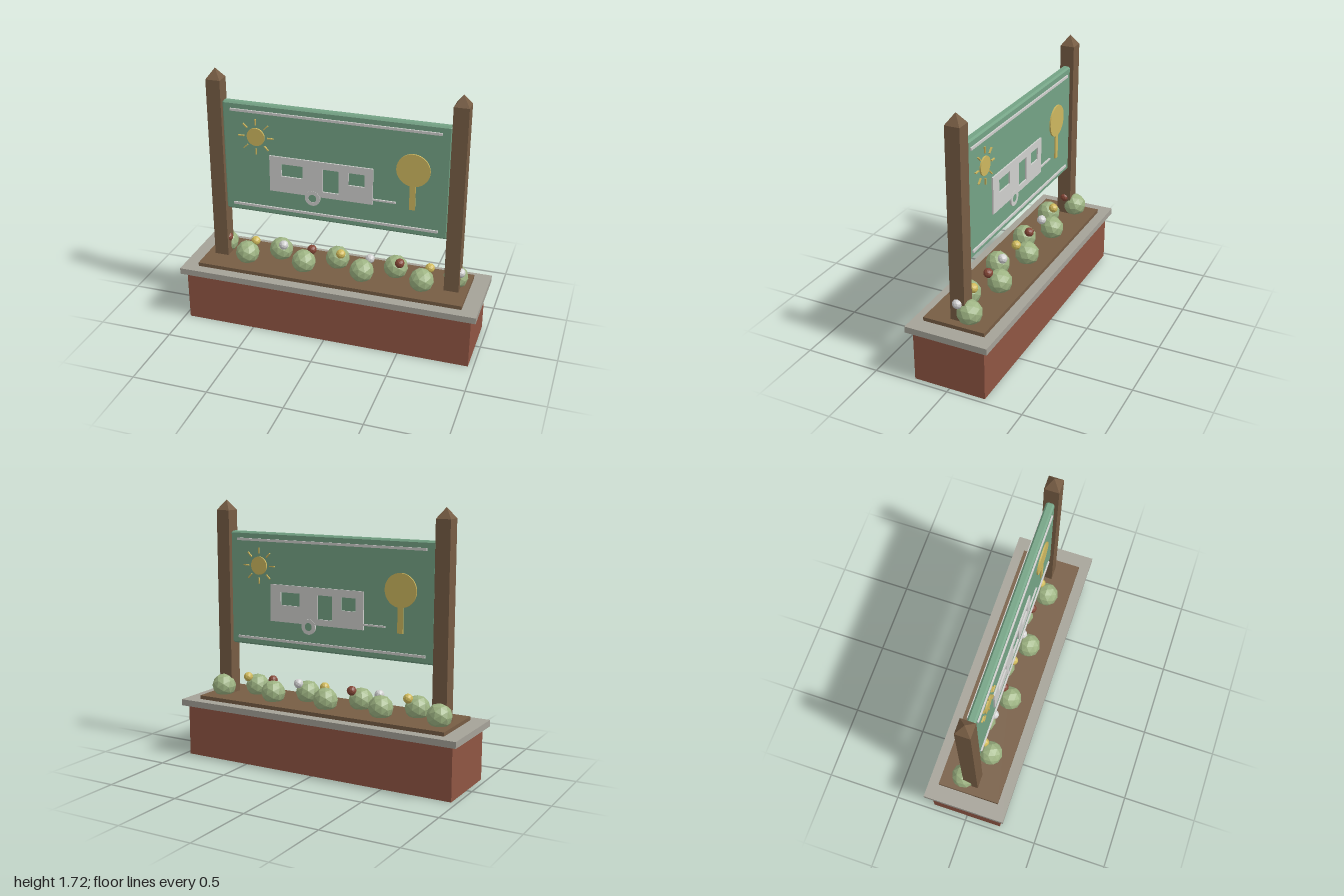
import * as THREE from 'three';
import { ConvexGeometry } from 'three/addons/geometries/ConvexGeometry.js';

const material = (name, color, flatShading = false) => {
  const m = new THREE.MeshStandardMaterial({ color, flatShading });
  m.name = name;
  return m;
};

export function createModel() {
  const brick = material('brick', 0x8f5543);
  const stone = material('stone', 0xa5a298);
  const wood = material('wood', 0x775d44);
  const green = material('sign green', 0x74a385);
  const white = material('white', 0xcfcfcd);
  const yellow = material('yellow', 0xcdb75f);
  const leaf = material('leaf', 0x9db382, true);
  const red = material('flower red', 0x844636, true);
  const gold = material('flower yellow', 0xcfb95a, true);
  const pale = material('flower white', 0xd2d2d2, true);

  const model = new THREE.Group();
  model.name = 'planterSign';

  const add = (parent, name, geometry, mat, x = 0, y = 0, z = 0) => {
    const mesh = new THREE.Mesh(geometry, mat);
    mesh.name = name;
    mesh.position.set(x, y, z);
    parent.add(mesh);
    return mesh;
  };
  // Box given by its x, y and z limits
  const box = (parent, name, mat, x0, x1, y0, y1, z0, z1) =>
    add(parent, name, new THREE.BoxGeometry(x1 - x0, y1 - y0, z1 - z0), mat,
      (x0 + x1) / 2, (y0 + y1) / 2, (z0 + z1) / 2);

  // Planter
  box(model, 'brickBase', brick, -0.965, 0.965, 0, 0.345, -0.24, 0.24);
  box(model, 'stoneCap', stone, -1, 1, 0.345, 0.387, -0.275, 0.275);
  box(model, 'soil', wood, -0.895, 0.895, 0.387, 0.412, -0.206, 0.206);

  // Posts with pyramid tips
  for (const [side, s] of [['left', 1], ['right', -1]]) {
    const x = s * 0.793;
    box(model, side + 'Post', wood, x - 0.048, x + 0.048, 0.41, 1.655, -0.048, 0.048);
    const tip = new THREE.ConeGeometry(0.048 * Math.SQRT2, 0.068, 4).toNonIndexed();
    tip.rotateY(Math.PI / 4);
    tip.computeVertexNormals();
    add(model, side + 'PostTip', tip, wood, x, 1.689, 0);
  }

  // Sign board: box with every edge chamfered
  const w = 0.746, h = 0.378, d = 0.027, c = 0.011;
  const corners = [];
  for (const sx of [-1, 1]) for (const sy of [-1, 1]) for (const sz of [-1, 1]) {
    corners.push(
      new THREE.Vector3(sx * w, sy * (h - c), sz * (d - c)),
      new THREE.Vector3(sx * (w - c), sy * h, sz * (d - c)),
      new THREE.Vector3(sx * (w - c), sy * (h - c), sz * d));
  }
  add(model, 'signBoard', new ConvexGeometry(corners), green, 0, 1.142, 0);

  // Raised picture, repeated on both faces
  const z0 = 0.02, z1 = 0.037;
  const rect = (Type, x0, x1, y0, y1) => new Type([
    new THREE.Vector2(x0, y0), new THREE.Vector2(x1, y0),
    new THREE.Vector2(x1, y1), new THREE.Vector2(x0, y1)]);
  const disc = (parent, name, mat, x, y, r, top = z1) => {
    const g = new THREE.CylinderGeometry(r, r, top - z0, 32);
    g.rotateX(Math.PI / 2);
    return add(parent, name, g, mat, x, y, (z0 + top) / 2);
  };
  const extrude = (shape, depth) =>
    new THREE.ExtrudeGeometry(shape, { depth, bevelEnabled: false, curveSegments: 24 });

  const buildPicture = (name) => {
    const g = new THREE.Group();
    g.name = name;
    box(g, 'topStripe', white, -0.69, 0.685, 1.461, 1.477, z0, z1);
    box(g, 'bottomStripe', white, -0.69, 0.685, 0.805, 0.821, z0, z1);

    // Sun and rays
    disc(g, 'sun', yellow, -0.52, 1.3, 0.06);
    for (let i = 0; i < 8; i++) {
      const a = i * Math.PI / 4;
      const ray = add(g, 'sunRay', new THREE.BoxGeometry(0.04, 0.007, z1 - z0), yellow,
        -0.52 + Math.cos(a) * 0.1, 1.3 + Math.sin(a) * 0.1, (z0 + z1) / 2);
      ray.rotation.z = a;
    }

    // Trailer with window and door openings
    const body = rect(THREE.Shape, -0.43, 0.26, 0.94, 1.185);
    body.holes.push(
      rect(THREE.Path, -0.35, -0.205, 1.052, 1.137),
      rect(THREE.Path, -0.072, 0.036, 0.98, 1.137),
      rect(THREE.Path, 0.1, 0.205, 1.052, 1.137));
    add(g, 'trailerBody', extrude(body, z1 - z0), white, 0, 0, z0);
    box(g, 'trailerHitch', white, 0.26, 0.41, 0.969, 0.98, z0, z1);
    const wheel = new THREE.Shape().absarc(0, 0, 0.051, 0, Math.PI * 2);
    wheel.holes.push(new THREE.Path().absarc(0, 0, 0.026, 0, Math.PI * 2, true));
    add(g, 'trailerWheel', extrude(wheel, z1 - z0 + 0.002), white, -0.14, 0.925, z0);
    disc(g, 'wheelHub', green, -0.14, 0.925, 0.026, z1 + 0.001);

    // Tree
    disc(g, 'treeCrown', yellow, 0.515, 1.21, 0.108);
    box(g, 'treeTrunk', yellow, 0.496, 0.534, 0.942, 1.11, z0, z1 - 0.001);
    return g;
  };
  const back = buildPicture('backPicture');
  back.rotation.y = Math.PI;
  model.add(buildPicture('frontPicture'), back);

  // Staggered bushes with flowers along the middle
  const bushGeometry = new THREE.IcosahedronGeometry(0.081, 1);
  const flowerGeometry = new THREE.IcosahedronGeometry(0.032, 1);
  const petals = [red, gold, pale];
  for (let i = 0; i < 9; i++) {
    const x = -0.8 + i * 0.2;
    add(model, 'bush', bushGeometry, leaf, x, 0.464, i % 2 ? 0.055 : -0.06);
    add(model, 'flower', flowerGeometry, petals[i % 3], x + 0.04, 0.53, 0);
  }
  return model;
}
